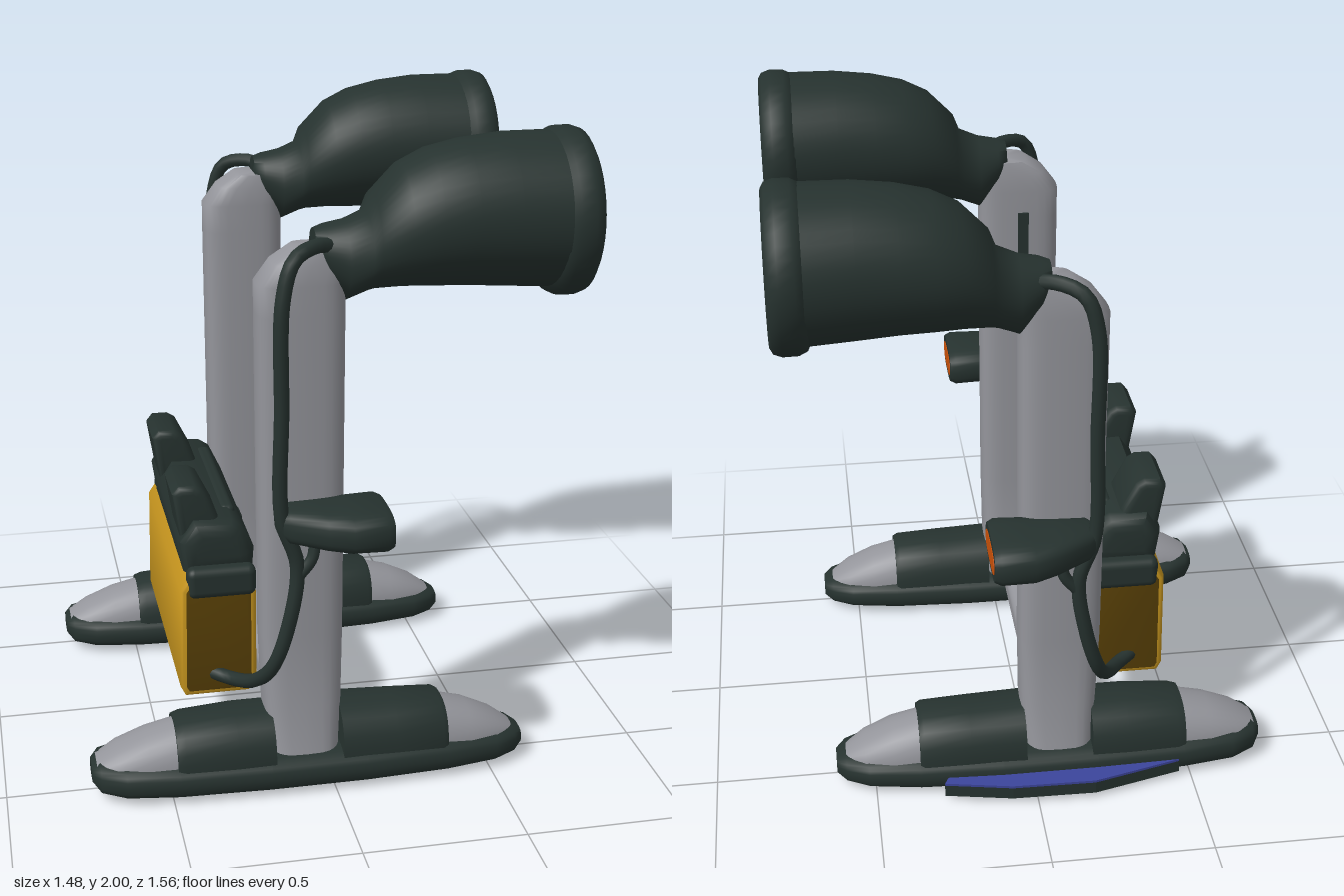
import * as THREE from 'three';
import { toCreasedNormals } from 'three/addons/utils/BufferGeometryUtils.js';
import { RoundedBoxGeometry } from 'three/addons/geometries/RoundedBoxGeometry.js';

const mat = (name, color, side = THREE.FrontSide) => {
  const m = new THREE.MeshStandardMaterial({ color, side });
  m.name = name;
  return m;
};

export function createModel() {
  const root = new THREE.Group();
  const dark = mat('dark rubber', 0x26322f);
  const grey = mat('grey metal', 0x94959b);
  const yellow = mat('yellow', 0xc9971f);
  const brown = mat('brown', 0x573f06);
  const orange = mat('orange', 0xcc5208, THREE.DoubleSide);
  const green = mat('green', 0x5cbb80, THREE.DoubleSide);
  const blue = mat('blue', 0x3c459c);

  const add = (name, geo, material, parent = root) => {
    const m = new THREE.Mesh(geo, material);
    m.name = name;
    parent.add(m);
    return m;
  };

  // Skin over superellipse rings along x: [x, centreY, halfY, halfZ, centreZ], cut flat at a floor
  const loft = (rings, power = 2, { crease = 0.8, n = 28, floor = -Infinity } = {}) => {
    const pos = [], idx = [];
    const pw = v => Math.sign(v) * Math.abs(v) ** (2 / power);
    for (const [x, cy, hy, hz, cz = 0] of rings)
      for (let j = 0; j < n; j++) {
        const a = (j / n) * Math.PI * 2;
        pos.push(x, Math.max(floor, cy + hy * pw(Math.cos(a))), cz + hz * pw(Math.sin(a)));
      }
    const last = rings.length - 1;
    for (let i = 0; i < last; i++)
      for (let j = 0; j < n; j++) {
        const k = (j + 1) % n, a = i * n + j, b = i * n + k;
        idx.push(a, b, a + n, b, b + n, a + n);
      }
    for (const i of [0, last]) {
      const [x, cy, , , cz = 0] = rings[i];
      const c = pos.length / 3;
      pos.push(x, cy, cz);
      for (let j = 0; j < n; j++) {
        const a = i * n + j, b = i * n + (j + 1) % n;
        if (i) idx.push(c, a, b); else idx.push(c, b, a);
      }
    }
    const g = new THREE.BufferGeometry();
    g.setAttribute('position', new THREE.Float32BufferAttribute(pos, 3));
    g.setIndex(idx);
    return toCreasedNormals(g, crease);
  };

  // Side profile in x, y extruded across z with soft edges, centred on z = 0
  const slab = (pts, width, bevel) => {
    const s = new THREE.Shape(pts.map(p => new THREE.Vector2(...p)));
    const g = new THREE.ExtrudeGeometry(s, {
      depth: width - 2 * bevel, bevelEnabled: true, bevelSize: bevel,
      bevelThickness: bevel, bevelOffset: -bevel, bevelSegments: 4,
    });
    g.translate(0, 0, -(width - 2 * bevel) / 2);
    return toCreasedNormals(g, 0.75);
  };

  const spin = (pts, start = 0, len = Math.PI * 2) => toCreasedNormals(
    new THREE.LatheGeometry(pts.map(p => new THREE.Vector2(...p)), 40, start, len), 0.8);

  const tube = (pts, r, s) => new THREE.TubeGeometry(
    new THREE.CatmullRomCurve3(pts.map(([x, y, z]) => new THREE.Vector3(x, y, z * s))), 60, r, 10);

  for (const s of [1, -1]) {
    const side = new THREE.Group();
    side.name = s > 0 ? 'frontStand' : 'backStand';
    root.add(side);
    const z = 0.5 * s;

    // Foot: sole, toe caps and straps
    const foot = new THREE.Group();
    foot.name = 'foot';
    foot.position.z = 0.51 * s;
    side.add(foot);
    const upper = { floor: 0.05 };
    add('sole', loft([
      [-0.74, 0.075, 0.025, 0.05], [-0.715, 0.07, 0.048, 0.09], [-0.64, 0.066, 0.056, 0.125],
      [-0.48, 0.064, 0.059, 0.145], [-0.2, 0.062, 0.061, 0.152], [0.1, 0.062, 0.061, 0.152],
      [0.36, 0.062, 0.058, 0.14], [0.52, 0.06, 0.05, 0.115], [0.59, 0.06, 0.042, 0.08],
      [0.62, 0.06, 0.025, 0.045]], 3), dark, foot);
    add('rearToe', loft([
      [-0.725, 0.08, 0.035, 0.065], [-0.66, 0.08, 0.075, 0.095], [-0.57, 0.08, 0.112, 0.11],
      [-0.45, 0.08, 0.142, 0.116]], 2.3, upper), grey, foot);
    add('frontToe', loft([
      [0.32, 0.08, 0.142, 0.113], [0.44, 0.08, 0.11, 0.106], [0.53, 0.08, 0.068, 0.085],
      [0.59, 0.075, 0.03, 0.05]], 2.3, upper), grey, foot);
    add('rearStrap', loft([
      [-0.485, 0.08, 0.14, 0.124], [-0.46, 0.08, 0.148, 0.13], [-0.3, 0.08, 0.16, 0.134],
      [-0.185, 0.08, 0.16, 0.134]], 2.6, upper), dark, foot);
    add('frontStrap', loft([
      [0.025, 0.08, 0.165, 0.134], [0.2, 0.08, 0.158, 0.131], [0.345, 0.08, 0.15, 0.127],
      [0.36, 0.08, 0.142, 0.12]], 2.6, upper), dark, foot);

    // Leg, lofted along x then stood upright
    const leg = add('leg', loft([
      [0.06, 0.085, 0.11, 0.125], [0.13, 0.085, 0.11, 0.115], [0.26, 0.085, 0.12, 0.085],
      [0.5, 0.088, 0.127, 0.08], [1.5, 0.09, 0.13, 0.08], [1.59, 0.09, 0.13, 0.08],
      [1.65, 0.065, 0.11, 0.078], [1.69, 0.035, 0.08, 0.068]], 3.6), grey, side);
    leg.rotation.z = Math.PI / 2;
    leg.position.z = z;

    // Horn body
    add('horn', loft([
      [-0.05, 1.69, 0.05, 0.055], [-0.02, 1.675, 0.075, 0.085], [0.04, 1.645, 0.117, 0.1],
      [0.1, 1.67, 0.115, 0.13], [0.12, 1.698, 0.138, 0.145], [0.2, 1.74, 0.176, 0.185],
      [0.28, 1.758, 0.197, 0.205], [0.38, 1.768, 0.21, 0.216], [0.5, 1.77, 0.221, 0.224],
      [0.64, 1.766, 0.225, 0.235]], 2, { crease: 1.1, n: 40 }), dark, side).position.z = z;

    // Horn mouth: rim, two-colour bowl and central knob, turned to face +x
    const mouth = new THREE.Group();
    mouth.name = 'hornMouth';
    mouth.position.set(0, 1.757, 0.497 * s);
    mouth.rotation.z = -Math.PI / 2;
    side.add(mouth);
    add('rim', spin([[0.2, 0.62], [0.232, 0.635], [0.244, 0.66], [0.245, 0.705], [0.236, 0.73],
      [0.218, 0.74], [0.195, 0.738], [0.178, 0.722], [0.174, 0.69]]), dark, mouth);
    const bowl = [[0.178, 0.715], [0.15, 0.692], [0.11, 0.672], [0.05, 0.66]];
    add('greenBowl', spin(bowl, -Math.PI / 4, Math.PI), green, mouth);
    add('orangeBowl', spin(bowl, Math.PI * 0.75, Math.PI), orange, mouth);
    add('knob', spin([[0.08, 0.65], [0.08, 0.695], [0.072, 0.712], [0.055, 0.72], [0, 0.722]]), dark, mouth);
    add('knobTip', spin([[0.044, 0.715], [0.042, 0.727], [0.028, 0.734], [0, 0.737]]), grey, mouth);

    // Side lamp with lit face
    add('lamp', loft([
      [-0.18, 0.9, 0.03, 0.04, 0.62 * s], [-0.15, 0.895, 0.05, 0.07, 0.62 * s],
      [-0.05, 0.892, 0.058, 0.105, 0.645 * s], [0.02, 0.89, 0.062, 0.127, 0.652 * s],
      [0.12, 0.89, 0.064, 0.13, 0.65 * s], [0.14, 0.89, 0.055, 0.12, 0.65 * s]], 3.2), dark, side);
    add('lampLens', loft([
      [0.136, 0.89, 0.035, 0.102, 0.648 * s], [0.142, 0.89, 0.035, 0.102, 0.648 * s]], 3), orange, side);

    // Cable from horn to pack, with a short branch at the lamp
    add('cable', tube([[0.02, 1.69, 0.53], [-0.06, 1.71, 0.59], [-0.13, 1.685, 0.635],
      [-0.165, 1.58, 0.65], [-0.17, 1.25, 0.65], [-0.17, 0.92, 0.65], [-0.125, 0.77, 0.65],
      [-0.15, 0.58, 0.65], [-0.195, 0.43, 0.625], [-0.24, 0.345, 0.54], [-0.29, 0.31, 0.45],
      [-0.34, 0.31, 0.4]], 0.022, s), dark, side);
    add('cableBranch', tube([[-0.07, 0.86, 0.64], [-0.08, 0.79, 0.65], [-0.125, 0.73, 0.65]], 0.018, s), dark, side);
  }

  // Inner strip on the front leg
  add('legStrip', new THREE.BoxGeometry(0.035, 0.92, 0.008), dark).position.set(-0.1, 1.06, 0.418);

  // Blue-topped wedge on the outer edge of the back foot
  const wedge = (h) => {
    const sh = new THREE.Shape([[-0.46, 0.655], [-0.42, 0.6], [0.25, 0.6], [0.29, 0.68],
      [0.08, 0.72], [-0.18, 0.725]].map(p => new THREE.Vector2(...p)));
    return new THREE.ExtrudeGeometry(sh, { depth: h, bevelEnabled: false }).rotateX(-Math.PI / 2);
  };
  add('footWedge', wedge(0.04), dark).position.y = 0.02;
  add('footWedgeTop', wedge(0.008), blue).position.y = 0.06;

  // Cross bar
  add('crossBar', new RoundedBoxGeometry(0.16, 0.1, 0.9, 4, 0.035), grey).position.set(-0.09, 0.22, 0);

  // Pack: yellow body with brown ends
  const pack = new THREE.Group();
  pack.name = 'pack';
  root.add(pack);
  add('packBody', slab([[-0.43, 0.24], [-0.23, 0.24], [-0.205, 0.27], [-0.205, 0.62], [-0.23, 0.66],
    [-0.4, 0.66], [-0.44, 0.6], [-0.445, 0.27]], 0.83, 0.018), [brown, yellow], pack);

  // Lid, knobs and fastenings
  add('lid', slab([[-0.42, 0.635], [-0.205, 0.635], [-0.2, 0.7], [-0.24, 0.785], [-0.27, 0.805],
    [-0.39, 0.81], [-0.435, 0.74]], 0.77, 0.05), dark, pack);
  add('lidRidge', new RoundedBoxGeometry(0.05, 0.05, 0.54, 3, 0.02), dark, pack).position.set(-0.27, 0.785, 0);
  add('clasp', new RoundedBoxGeometry(0.03, 0.4, 0.085, 3, 0.013), dark, pack).position.set(-0.2, 0.48, 0);
  for (const s of [1, -1]) {
    add('topKnob', slab([[-0.42, 0.7], [-0.27, 0.7], [-0.31, 0.81], [-0.355, 0.9], [-0.38, 0.915],
      [-0.43, 0.915], [-0.45, 0.89]], 0.21, 0.025), dark, pack).position.z = 0.245 * s;
    add('endTrim', new RoundedBoxGeometry(0.215, 0.1, 0.06, 3, 0.025), dark, pack).position.set(-0.312, 0.62, 0.394 * s);
    add('buckle', new RoundedBoxGeometry(0.026, 0.08, 0.07, 2, 0.01), orange, pack).position.set(-0.205, 0.6, 0.08 * s);
    add('buckleTop', new RoundedBoxGeometry(0.04, 0.02, 0.075, 2, 0.008), dark, pack).position.set(-0.208, 0.642, 0.08 * s);
  }
  return root;
}
